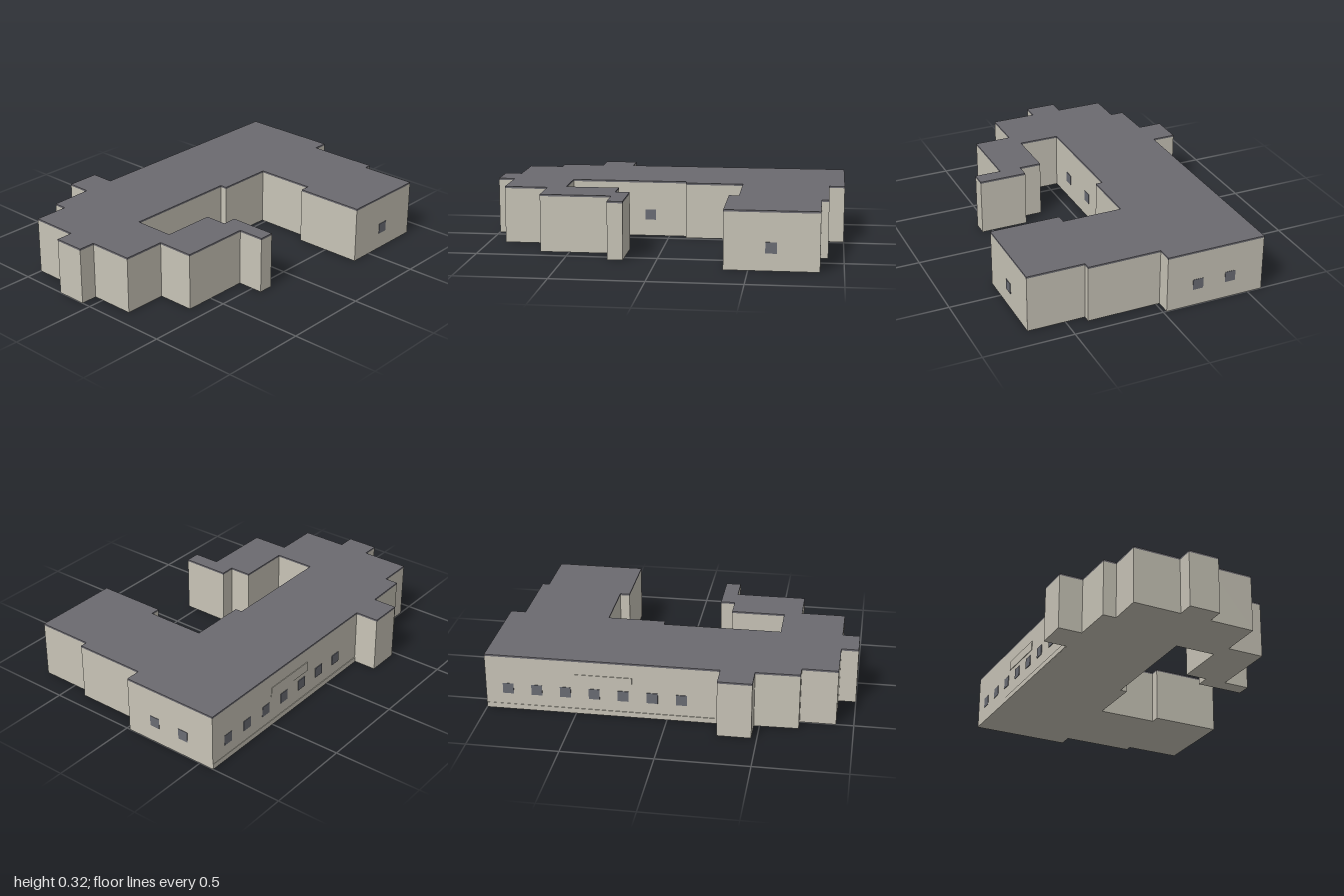
import * as THREE from 'three';

const material = (name, color) => {
  const m = new THREE.MeshStandardMaterial({ color });
  m.name = name;
  return m;
};

export function createModel() {
  const building = new THREE.Group();
  building.name = 'building';
  const wall = material('wall', 0xc8c4b7);
  const roof = material('roof', 0x6b6a70);
  const glass = material('glass', 0x6a6c74);

  // Footprint corners as [x, z], walked from the back corner
  const footprint = [
    [-0.585, -1], [-0.02, -1], [-0.02, -0.915], [0.39, -0.915], [0.39, -0.875],
    [0.71, -0.875], [0.71, -0.37], [0.315, -0.37], [0.315, -0.425],
    [-0.025, -0.425], [-0.025, -0.1], [-0.065, -0.1], [-0.065, 0.56],
    [0.165, 0.56], [0.165, 0.26], [0.29, 0.26], [0.29, 0.18], [0.56, 0.18],
    [0.56, 0.265], [0.41, 0.265], [0.41, 0.66], [0.2, 0.66], [0.2, 0.905],
    [-0.055, 0.905], [-0.055, 1], [-0.23, 1], [-0.23, 0.905], [-0.5, 0.905],
    [-0.5, 0.71], [-0.575, 0.71], [-0.58, 0.47], [-0.715, 0.47],
    [-0.715, 0.285], [-0.582, 0.285],
  ];
  const outline = new THREE.Shape(footprint.map(([x, z]) => new THREE.Vector2(x, -z)));

  const addLayer = (name, y, height, mat) => {
    const geometry = new THREE.ExtrudeGeometry(outline, { depth: height, bevelEnabled: false });
    geometry.rotateX(-Math.PI / 2);
    const mesh = new THREE.Mesh(geometry, mat);
    mesh.name = name;
    mesh.position.y = y;
    building.add(mesh);
  };
  addLayer('walls', 0, 0.311, wall);
  addLayer('roof', 0.311, 0.01, roof);

  const addPlate = (name, size, position, mat) => {
    const mesh = new THREE.Mesh(new THREE.BoxGeometry(...size), mat);
    mesh.name = name;
    mesh.position.set(...position);
    building.add(mesh);
  };

  // Square windows, thin plates on the wall faces
  const w = 0.06, t = 0.006, y = 0.124;
  const sideWindow = (x, z) => addPlate('window', [t, w, w], [x, y, z], glass);
  for (let i = 0; i < 7; i++) sideWindow(-0.584, -0.875 + i * 0.159);
  for (const z of [0.11, 0.37]) sideWindow(-0.065, z);
  sideWindow(0.71, -0.62);
  for (const x of [-0.39, -0.2]) addPlate('window', [w, w, t], [x, y, -0.999], glass);

  // Shallow base course and raised panel on the long left-hand wall
  addPlate('baseCourse', [0.004, 0.03, 1.28], [-0.585, 0.015, -0.357], wall);
  addPlate('wallPanel', [0.004, 0.055, 0.32], [-0.585, 0.208, -0.35], wall);

  return building;
}
